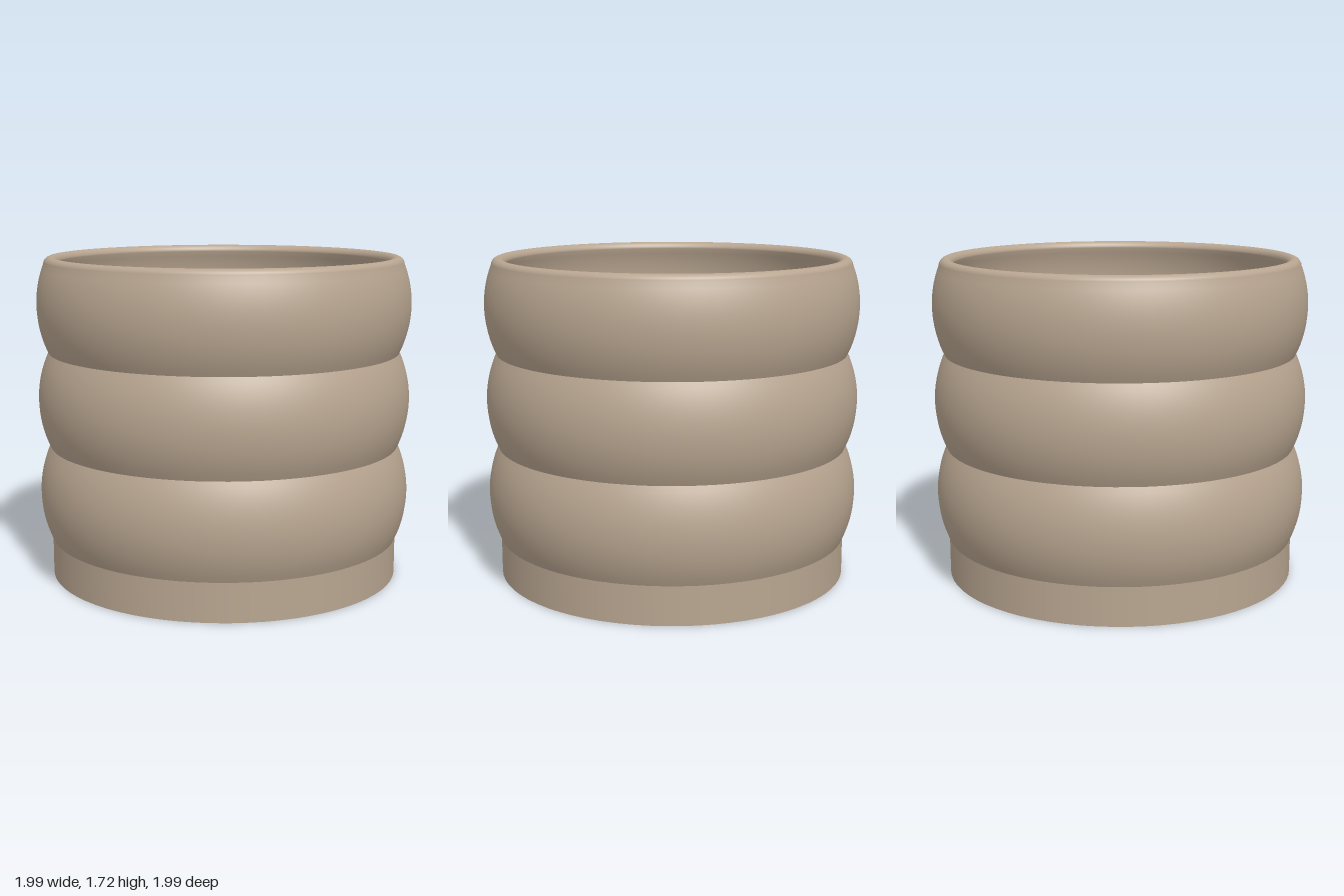
import * as THREE from 'three';

const SEGMENTS = 72;
const PITCH = 0.503;      // height of one bulge
const BASE_TOP = 0.205;   // top of the straight base band
const TOP = 1.715;

// Points along a shallow outward bulge, from (r, y0) to (r, y1)
function bulge(r, sagitta, y0, y1, steps, t0 = 0, t1 = 1) {
  const half = (y1 - y0) / 2;
  const R = (half * half + sagitta * sagitta) / (2 * sagitta);
  const points = [];
  for (let i = 0; i <= steps; i++) {
    const dy = half * (2 * (t0 + (t1 - t0) * i / steps) - 1);
    points.push([r + sagitta - R + Math.sqrt(R * R - dy * dy), (y0 + y1) / 2 + dy]);
  }
  return points;
}

export function createModel() {
  const group = new THREE.Group();
  const clay = new THREE.MeshStandardMaterial({ color: 0xb8a590 });
  clay.name = 'warm beige clay';

  // Each smooth stretch of the profile is its own lathe, so the creases stay sharp
  function turn(name, points, parent = group) {
    const profile = points.map(([r, y]) => new THREE.Vector2(r, y));
    const mesh = new THREE.Mesh(new THREE.LatheGeometry(profile, SEGMENTS), clay);
    mesh.name = name;
    parent.add(mesh);
  }

  // Underside: recessed floor, raised foot ring and outer foot rim
  const underside = new THREE.Group();
  underside.name = 'underside';
  group.add(underside);
  const foot = [[0, 0.027], [0.47, 0.027], [0.47, 0], [0.525, 0], [0.525, 0.027],
    [0.89, 0.027], [0.89, 0], [0.94, 0]];
  for (let i = 0; i < foot.length - 1; i++) {
    turn('undersideStep' + (i + 1), [foot[i], foot[i + 1]], underside);
  }

  // Straight band at the base
  turn('baseBand', [[0.94, 0], [0.94, BASE_TOP]]);

  // Three bulges outside, with matching hollows inside
  for (let i = 0; i < 3; i++) {
    const y0 = BASE_TOP + i * PITCH;
    const y1 = y0 + PITCH;
    const end = i === 2 ? 0.93 : 1;
    const outer = bulge(0.94, 0.057, y0, y1, 16, 0, end);
    const inner = bulge(0.866, 0.057, y0, y1, 16, 0, end).reverse();
    if (i < 2) {
      turn('outerBulge' + (i + 1), outer);
      turn('innerHollow' + (i + 1), inner);
    } else {
      // The top bulge rolls over a rounded rim into the hollow
      const [ro, yo] = outer[outer.length - 1];
      const ri = inner[0][0];
      const centre = (ro + ri) / 2;
      const rim = [];
      for (let k = 1; k < 12; k++) {
        const a = Math.PI * k / 12;
        rim.push([centre + Math.cos(a) * (ro - ri) / 2, yo + Math.sin(a) * (TOP - yo)]);
      }
      turn('topBulgeAndRim', [...outer, ...rim, ...inner]);
    }
  }

  // Inside wall at the base, and the floor
  turn('innerBaseWall', [[0.866, BASE_TOP], [0.866, 0.1]]);
  turn('floor', [[0.866, 0.1], [0, 0.1]]);

  return group;
}
